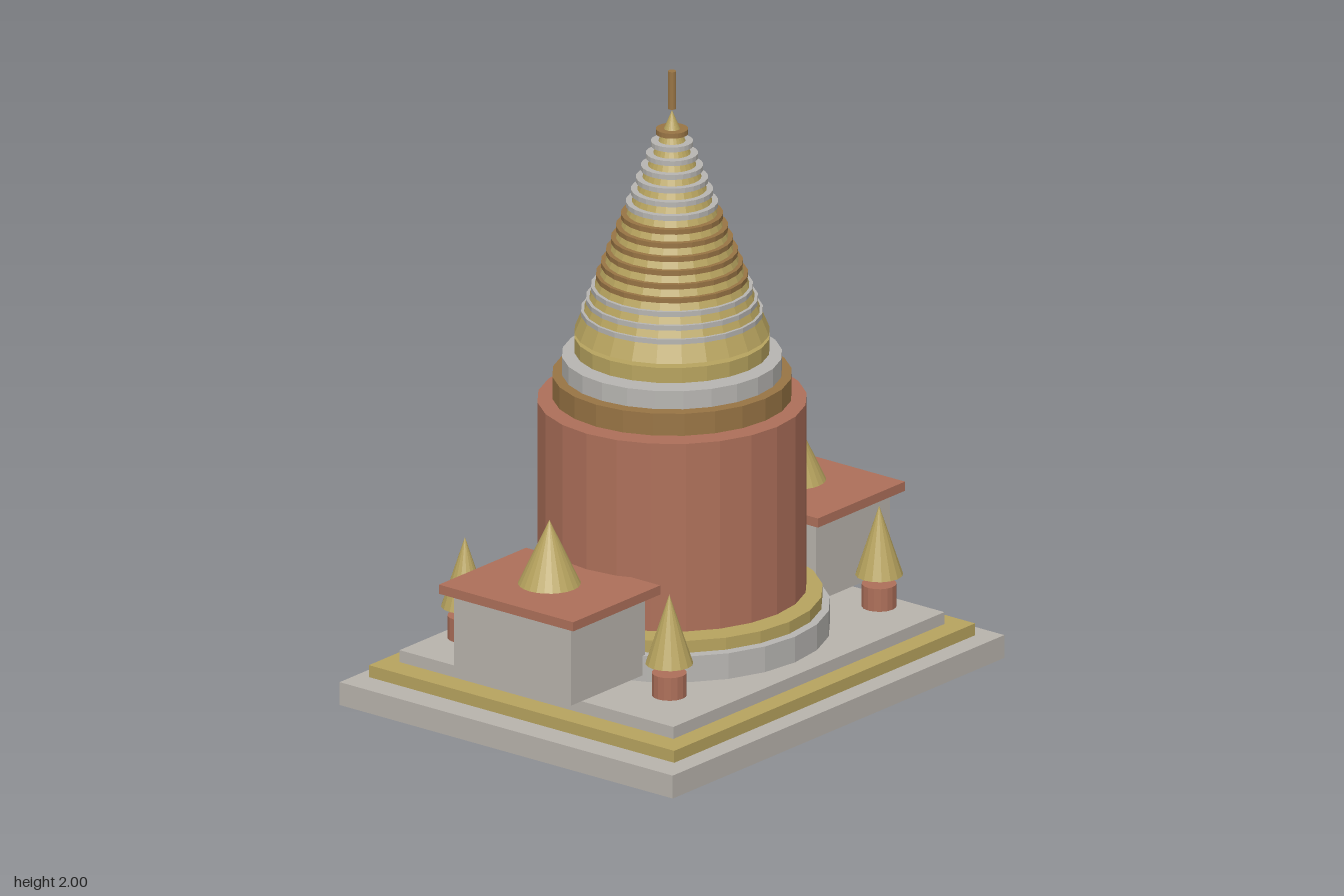
import * as THREE from 'three';

const mat = (name, color) => {
  const m = new THREE.MeshStandardMaterial({ color, flatShading: true });
  m.name = name;
  return m;
};

export function createModel() {
  const stone = mat('stone', 0xb9b4ad);
  const silver = mat('silver', 0xb8b6b2);
  const gold = mat('gold', 0xb8a45f);
  const brick = mat('brick', 0xae705a);
  const bronze = mat('bronze', 0x997545);

  const root = new THREE.Group();
  root.name = 'stupa';

  const add = (parent, name, geometry, material, x, y, z) => {
    const mesh = new THREE.Mesh(geometry, material);
    mesh.name = name;
    mesh.position.set(x, y, z);
    parent.add(mesh);
    return mesh;
  };
  // Each helper takes the bottom and top height of the part
  const slab = (parent, name, m, w, y0, y1, d, x = 0, z = 0) =>
    add(parent, name, new THREE.BoxGeometry(w, y1 - y0, d), m, x, (y0 + y1) / 2, z);
  const drum = (parent, name, m, r, y0, y1, x = 0, z = 0, sides = 24) =>
    add(parent, name, new THREE.CylinderGeometry(r, r, y1 - y0, sides), m, x, (y0 + y1) / 2, z);
  const cone = (parent, name, m, r, y0, y1, x = 0, z = 0, sides = 24) =>
    add(parent, name, new THREE.ConeGeometry(r, y1 - y0, sides), m, x, (y0 + y1) / 2, z);

  // Stepped rectangular terrace
  slab(root, 'baseTerrace', stone, 1.615, 0, 0.075, 1.32);
  slab(root, 'middleTerrace', gold, 1.465, 0.083, 0.122, 1.21);
  slab(root, 'upperTerrace', stone, 1.32, 0.126, 0.165, 1.085);

  // Round body with mouldings
  drum(root, 'bodyFoot', silver, 0.488, 0.176, 0.26);
  drum(root, 'bodyFootBand', gold, 0.465, 0.264, 0.303);
  drum(root, 'body', brick, 0.416, 0.316, 0.93);
  drum(root, 'neckLower', bronze, 0.37, 0.94, 1.012);
  drum(root, 'neckMiddle', silver, 0.34, 1.016, 1.075);
  drum(root, 'neckUpper', gold, 0.302, 1.088, 1.137);

  // Ringed spire
  const spire = new THREE.Group();
  spire.name = 'spire';
  root.add(spire);
  cone(spire, 'spireCone', gold, 0.302, 1.15, 1.872);
  for (let i = 0; i < 16; i++) {
    const y = 1.804 - i * 0.0393;
    const m = i === 0 || (i > 6 && i < 13) ? bronze : silver;
    drum(spire, 'spireRing', m, 0.05 + i * 0.0154, y - 0.008, y + 0.008);
  }
  drum(spire, 'finial', bronze, 0.013, 1.877, 2, 0, 0, 12);

  // Side chapels and corner turrets, mirrored left and right
  for (const s of [1, -1]) {
    const chapel = new THREE.Group();
    chapel.name = s > 0 ? 'leftChapel' : 'rightChapel';
    root.add(chapel);
    slab(chapel, 'chapelWalls', stone, 0.36, 0.196, 0.452, 0.464, s * 0.597);
    slab(chapel, 'chapelRoof', brick, 0.424, 0.456, 0.486, 0.532, s * 0.596);
    cone(chapel, 'chapelCone', gold, 0.097, 0.493, 0.7, s * 0.597);

    for (const t of [1, -1]) {
      const turret = new THREE.Group();
      turret.name = 'cornerTurret';
      root.add(turret);
      drum(turret, 'turretPost', brick, 0.054, 0.196, 0.27, s * 0.511, t * 0.405, 16);
      cone(turret, 'turretCone', gold, 0.074, 0.3, 0.525, s * 0.511, t * 0.405, 16);
    }
  }
  return root;
}
